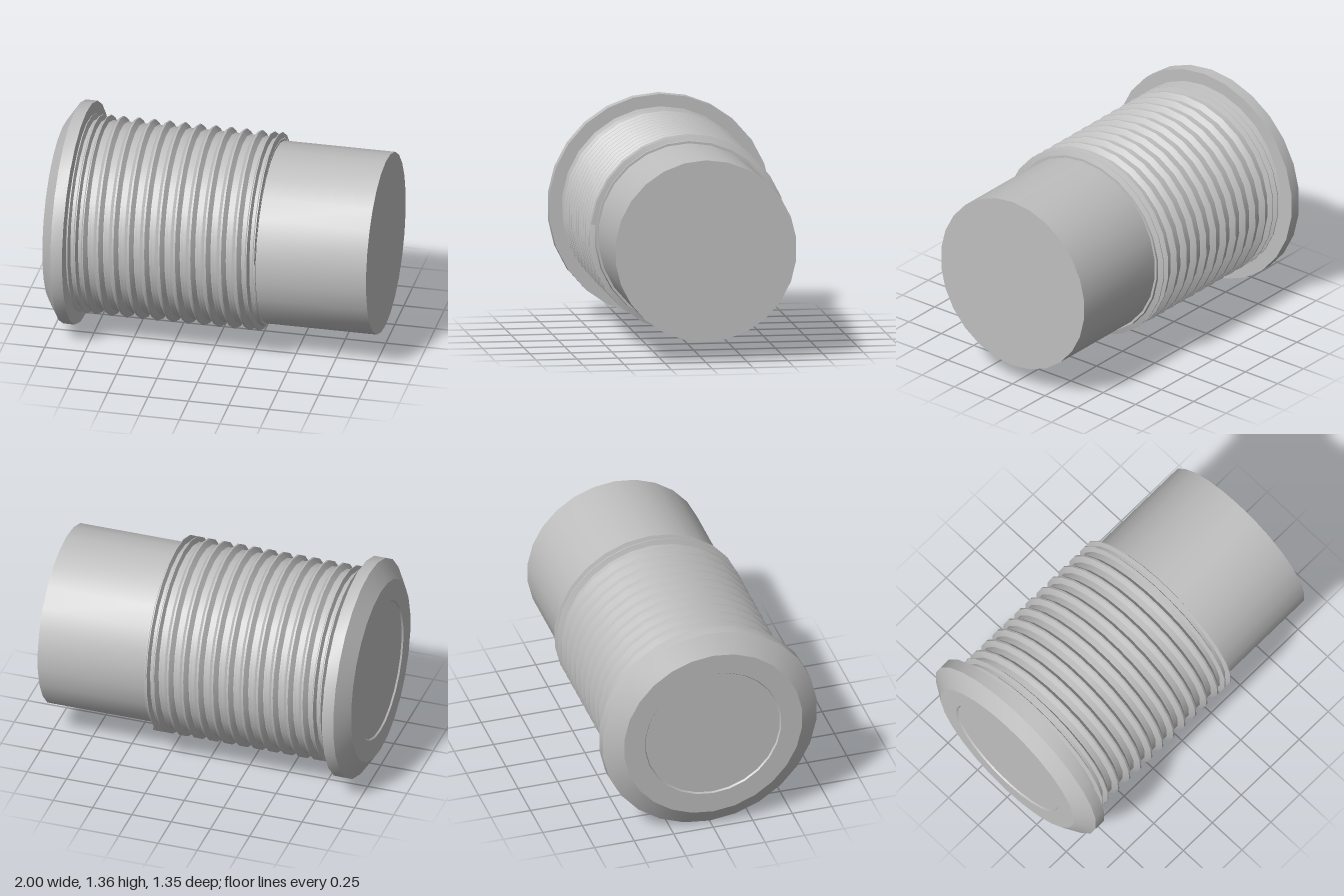
import * as THREE from 'three';
import { toCreasedNormals, mergeGeometries } from 'three/addons/utils/BufferGeometryUtils.js';

const SIDES = 26;
const AXIS_Y = 0.68;
const PITCH = 0.095;
const THREAD_START = -0.855, THREAD_END = 0.317;

const steel = new THREE.MeshStandardMaterial({ color: 0xbfbfbf });
steel.name = 'grey steel';

// Turned part along x from [x, radius] pairs, with a corner at the top
function turned(name, profile) {
  const points = profile.map(([x, r]) => new THREE.Vector2(r, x));
  const lathe = new THREE.LatheGeometry(points, SIDES, Math.PI / 2);
  lathe.rotateZ(-Math.PI / 2);
  const mesh = new THREE.Mesh(toCreasedNormals(lathe, 0.5), steel);
  mesh.name = name;
  return mesh;
}

// Axial position of the helix after s turns; the coils bunch up at both ends
function helixX(s) {
  const even = THREE.MathUtils.clamp(s, -7.7, 2.6);
  const x = -0.01 + PITCH * (even + 0.5 * (s - even));
  return THREE.MathUtils.clamp(x, THREAD_START, THREAD_END);
}

// One facet of the thread profile, swept as a continuous helical strip
function threadBand([u0, r0], [u1, r1]) {
  const positions = [], indices = [];
  const first = -11 * SIDES, last = 6 * SIDES;
  for (let i = first; i <= last; i++) {
    const turn = i / SIDES, a = turn * Math.PI * 2;
    for (const [u, r] of [[u0, r0], [u1, r1]]) {
      positions.push(helixX(turn + u), r * Math.cos(a), r * Math.sin(a));
    }
    const xa = helixX(turn + u0), xb = helixX(turn + 1 / SIDES + u1);
    if (i < last && xb - xa > 1e-5) {
      const k = (i - first) * 2;
      indices.push(k, k + 2, k + 1, k + 1, k + 2, k + 3);
    }
  }
  const band = new THREE.BufferGeometry();
  band.setAttribute('position', new THREE.Float32BufferAttribute(positions, 3));
  band.setIndex(indices);
  band.computeVertexNormals();
  return band;
}

export function createModel() {
  const model = new THREE.Group();
  model.name = 'threadedPlug';

  // Chamfered head with a shallow round recess in its end
  model.add(turned('head', [
    [-0.99, 0], [-0.99, 0.425], [-1, 0.432], [-1, 0.565],
    [-0.925, 0.68], [-0.853, 0.68], [-0.853, 0],
  ]));

  // Core under the thread
  model.add(turned('threadCore', [
    [THREAD_START, 0.569], [THREAD_END, 0.569], [THREAD_END, 0.5],
  ]));

  // Plain smooth shank
  model.add(turned('shank', [[0.3, 0.555], [1, 0.555], [1, 0]]));

  // Right-handed thread: flat root, flanks and a narrow crest
  const profile = [[-0.5, 0.573], [-0.3, 0.573], [-0.06, 0.604], [0.06, 0.604], [0.3, 0.573], [0.5, 0.573]];
  const bands = profile.slice(1).map((p, i) => threadBand(profile[i], p));
  const thread = new THREE.Mesh(mergeGeometries(bands), steel);
  thread.name = 'thread';
  model.add(thread);

  model.children.forEach((part) => { part.position.y = AXIS_Y; });
  return model;
}
